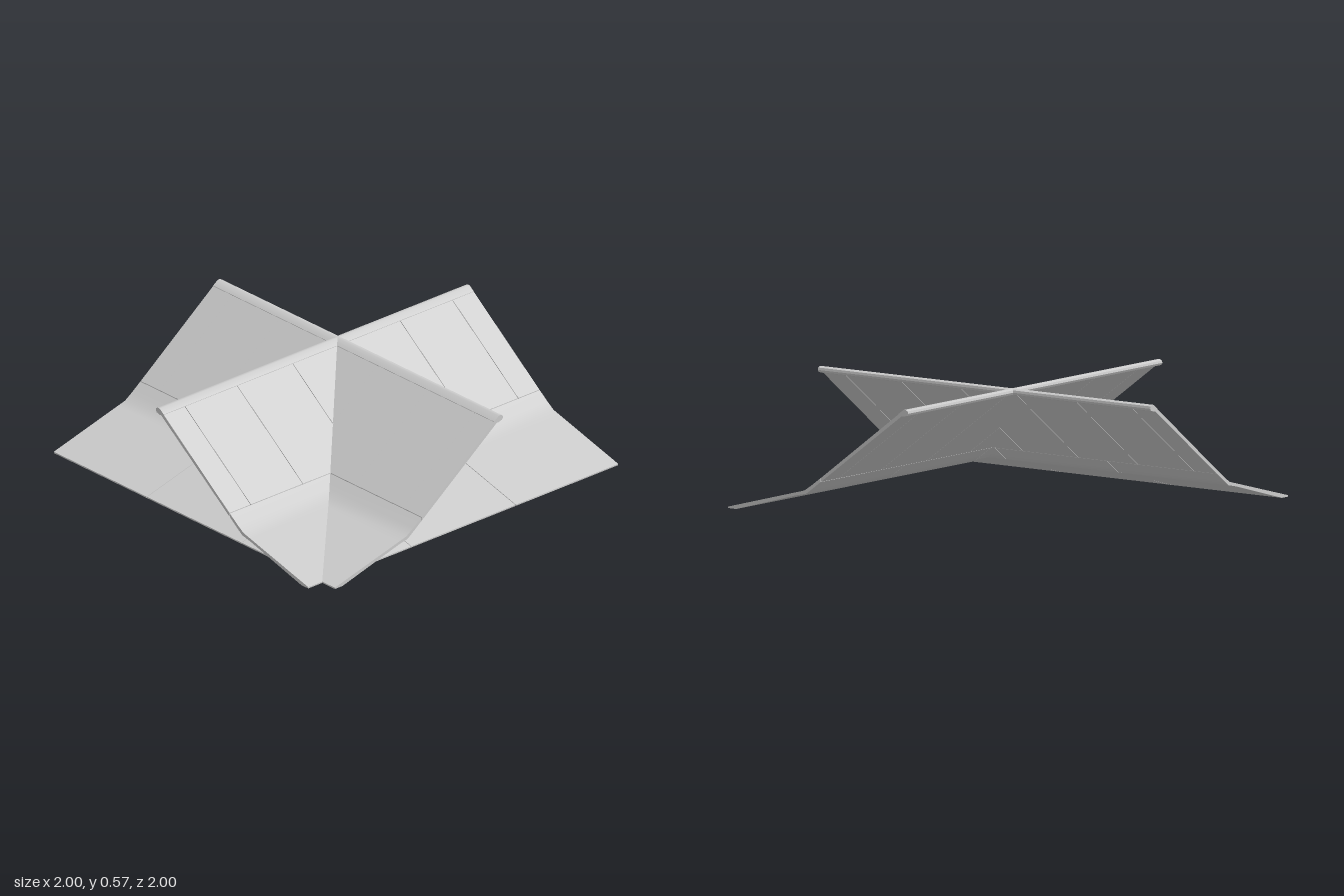
import * as THREE from 'three';
import { toCreasedNormals } from 'three/addons/utils/BufferGeometryUtils.js';

const material = new THREE.MeshStandardMaterial({ color: 0xcccccc });

// Cross-sections in x/y, extruded along z
const apronProfile = [
  [-0.91, 0], [-0.86, 0], [-0.50, 0.1], [-0.44, 0.113], [-0.40, 0.142], [-0.352, 0.178],
  [-0.352, 0.197], [-0.405, 0.158], [-0.45, 0.128], [-0.50, 0.115], [-0.91, 0.007],
];
const slopeProfile = [[-0.349, 0.180], [0.14, 0.545], [0.125, 0.556], [-0.349, 0.199]];
const capProfile = [
  [0.118, 0.545], [0.145, 0.541], [0.168, 0.547], [0.175, 0.558],
  [0.172, 0.569], [0.16, 0.575], [0.147, 0.574], [0.118, 0.553],
];

function strip(name, profile, z0, z1) {
  const shape = new THREE.Shape(profile.map(([x, y]) => new THREE.Vector2(x, y)));
  const geometry = new THREE.ExtrudeGeometry(shape, { depth: z1 - z0, bevelEnabled: false });
  geometry.translate(0, 0, z0);
  const mesh = new THREE.Mesh(toCreasedNormals(geometry, 0.6), material);
  mesh.name = name;
  return mesh;
}

// Row of panels separated by narrow seams
function panelRow(name, profile, seams) {
  const row = new THREE.Group();
  row.name = name;
  const gap = 0.0015;
  const cuts = [-1, ...seams, 1];
  for (let i = 0; i < cuts.length - 1; i++) {
    const z0 = cuts[i] + (i > 0 ? gap : 0);
    const z1 = cuts[i + 1] - (i < cuts.length - 2 ? gap : 0);
    row.add(strip(name + 'Panel', profile, z0, z1));
  }
  return row;
}

function makeRamp(name) {
  const ramp = new THREE.Group();
  ramp.name = name;
  ramp.add(
    panelRow('apron', apronProfile, [-0.337, 0.337]),
    panelRow('slope', slopeProfile, [-0.863, -0.526, -0.168, 0.168, 0.526, 0.863]),
    strip('topRail', capProfile, -1, 1),
  );
  return ramp;
}

export function createModel() {
  const model = new THREE.Group();
  model.name = 'crossedRamps';
  // Two identical ramps crossing at a right angle
  const sideRamp = makeRamp('sideRamp');
  const frontRamp = makeRamp('frontRamp');
  frontRamp.rotation.y = Math.PI / 2;
  model.add(sideRamp, frontRamp);
  return model;
}
